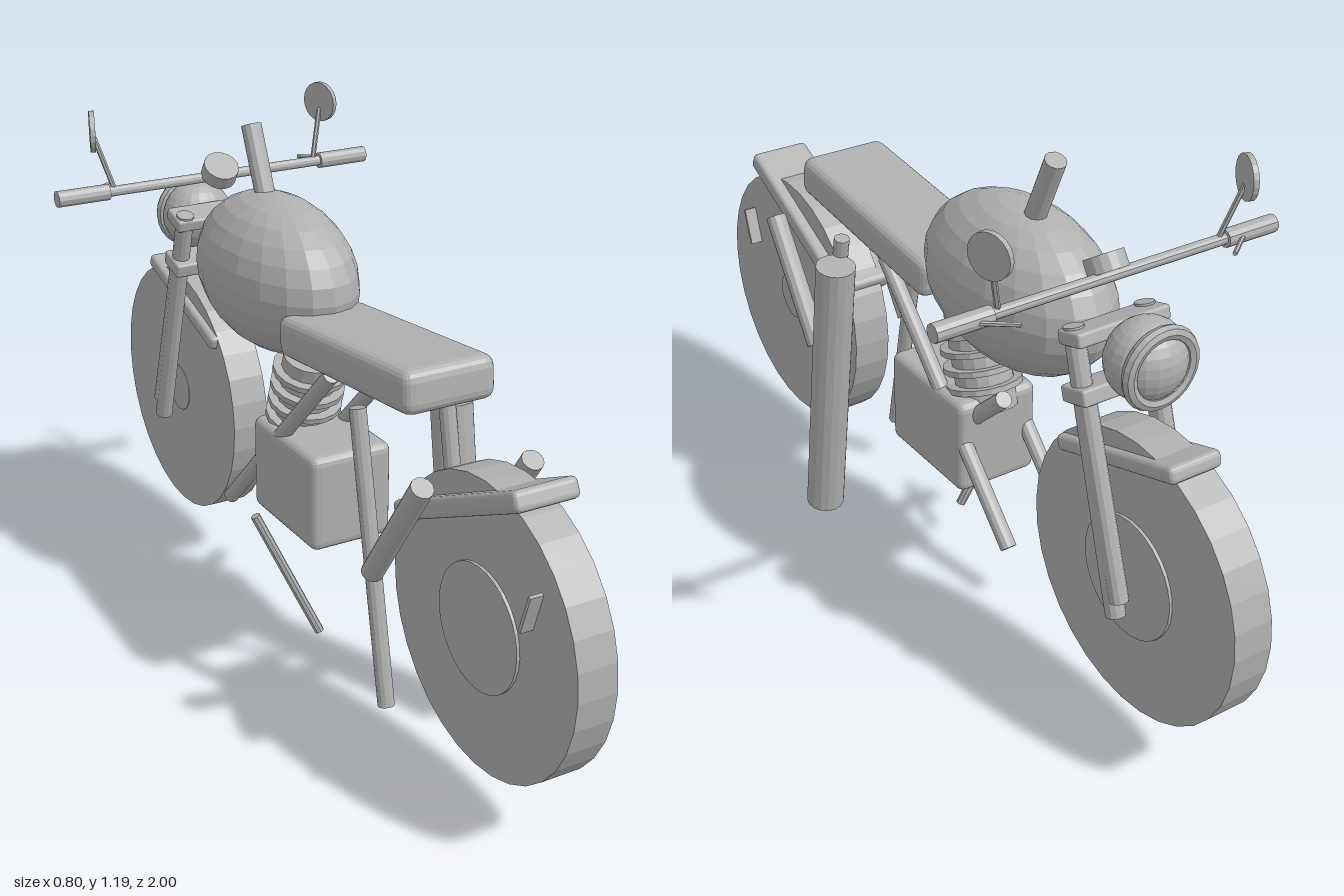
import * as THREE from 'three';
import { RoundedBoxGeometry } from 'three/addons/geometries/RoundedBoxGeometry.js';

const UP = new THREE.Vector3(0, 1, 0);

export function createModel() {
  const bike = new THREE.Group();
  bike.name = 'motorcycle';
  const grey = new THREE.MeshStandardMaterial({ color: 0xb0b0b0, flatShading: true });
  grey.name = 'plain grey';

  function add(name, geometry, [x, y, z] = [0, 0, 0], tilt = 0) {
    const mesh = new THREE.Mesh(geometry, grey);
    mesh.name = name;
    mesh.position.set(x, y, z);
    mesh.rotation.x = tilt;
    bike.add(mesh);
    return mesh;
  }
  // Straight round bar between two points
  function rod(name, from, to, radius, sides = 12) {
    const a = new THREE.Vector3(...from), b = new THREE.Vector3(...to);
    const dir = b.clone().sub(a);
    const mid = a.clone().add(b).multiplyScalar(0.5);
    const mesh = add(name, new THREE.CylinderGeometry(radius, radius, dir.length(), sides), mid.toArray());
    mesh.quaternion.setFromUnitVectors(UP, dir.normalize());
    return mesh;
  }
  const block = (name, size, at, tilt, bevel = 0.012) =>
    add(name, new RoundedBoxGeometry(...size, 2, bevel), at, tilt);
  // Short cylinder lying along x
  const disc = (name, radius, x0, x1, y, z, sides) =>
    rod(name, [x0, y, z], [x1, y, z], radius, sides);

  // Wheels with hubs, brake disc in front and sprocket behind
  for (const [label, z] of [['front', -0.685], ['rear', 0.685]]) {
    disc(label + 'Wheel', 0.313, -0.045, 0.045, 0.43, z, 32);
    disc(label + 'Hub', 0.06, -0.047, 0.047, 0.43, z, 16);
  }
  disc('frontBrakeDisc', 0.134, 0.04, 0.052, 0.43, -0.685, 32);
  disc('rearSprocket', 0.134, -0.052, -0.04, 0.43, 0.685, 32);

  // Bodywork
  const tank = add('fuelTank', new THREE.SphereGeometry(1, 20, 14), [0, 0.872, -0.23]);
  tank.scale.set(0.153, 0.178, 0.272);
  block('seat', [0.214, 0.093, 0.53], [0, 0.829, 0.235], -0.1, 0.025);
  block('rearFender', [0.146, 0.043, 0.46], [0, 0.663, 0.612], -0.45);
  block('frontFender', [0.125, 0.036, 0.37], [0, 0.682, -0.631], 0.32);
  add('rearPlate', new THREE.BoxGeometry(0.148, 0.09, 0.008), [0, 0.556, 0.864], 0.3);

  // Engine with a finned cylinder leaning back
  block('engineCase', [0.2, 0.225, 0.287], [0, 0.45, -0.023], 0, 0.02);
  add('engineCylinder', new THREE.CylinderGeometry(0.065, 0.065, 0.22, 16), [0, 0.62, -0.095], 0.3);
  for (let i = 0; i < 4; i++) {
    const d = -0.06 + i * 0.042;
    add('coolingFin', new THREE.CylinderGeometry(0.085, 0.085, 0.013, 16),
      [0, 0.625 + d * Math.cos(0.3), -0.092 + d * Math.sin(0.3)], 0.3);
  }
  rod('exhaustHeader', [0.05, 0.615, -0.255], [0.05, 0.47, -0.1], 0.019);
  rod('muffler', [0.14, 0.717, 0.286], [0.14, 0.014, 0.387], 0.046, 16);
  rod('kickstand', [-0.19, 0.41, 0.02], [-0.06, 0.11, 0.075], 0.011, 8);

  // Steering column, handlebar, gauge
  rod('steeringColumn', [0, 1.182, -0.343], [0, 0.97, -0.25], 0.023);
  disc('handlebar', 0.012, -0.38, 0.38, 1.018, -0.53, 12);
  add('gauge', new THREE.CylinderGeometry(0.042, 0.042, 0.035, 16), [0, 1.035, -0.51], 0.6);

  // Headlight bowl and rim
  const lamp = add('headlight', new THREE.SphereGeometry(1, 20, 14), [0, 0.893, -0.642]);
  lamp.scale.set(0.085, 0.085, 0.077);
  add('headlightRim', new THREE.TorusGeometry(0.074, 0.015, 8, 24), [0, 0.893, -0.685]);

  // Fork clamps
  block('upperForkClamp', [0.22, 0.03, 0.07], [0, 0.92, -0.545], 0.29, 0.006);
  block('lowerForkClamp', [0.22, 0.035, 0.075], [0, 0.805, -0.565], 0.29, 0.006);

  // Paired parts
  for (const s of [-1, 1]) {
    rod('forkTube', [s * 0.085, 0.935, -0.527], [s * 0.085, 0.36, -0.7], 0.021);
    rod('forkSlider', [s * 0.085, 0.81, -0.573], [s * 0.085, 0.4, -0.708], 0.02);
    rod('frameTube', [s * 0.08, 0.775, 0.165], [s * 0.08, 0.285, -0.325], 0.018);
    rod('swingArm', [s * 0.105, 0.765, 0.316], [s * 0.105, 0.135, 0.444], 0.018);
    rod('rearShock', [s * 0.127, 0.711, 0.597], [s * 0.127, 0.444, 0.417], 0.024);
    disc('grip', 0.019, s * 0.275, s * 0.4, 1.018, -0.53, 12);
    rod('lever', [s * 0.25, 1.018, -0.59], [s * 0.31, 1.018, -0.545], 0.005, 6);
    rod('mirrorStem', [s * 0.26, 1.025, -0.53], [s * 0.292, 1.14, -0.556], 0.006, 6);
    rod('mirror', [s * 0.29, 1.155, -0.555], [s * 0.301, 1.155, -0.559], 0.047, 20);
  }
  return bike;
}
